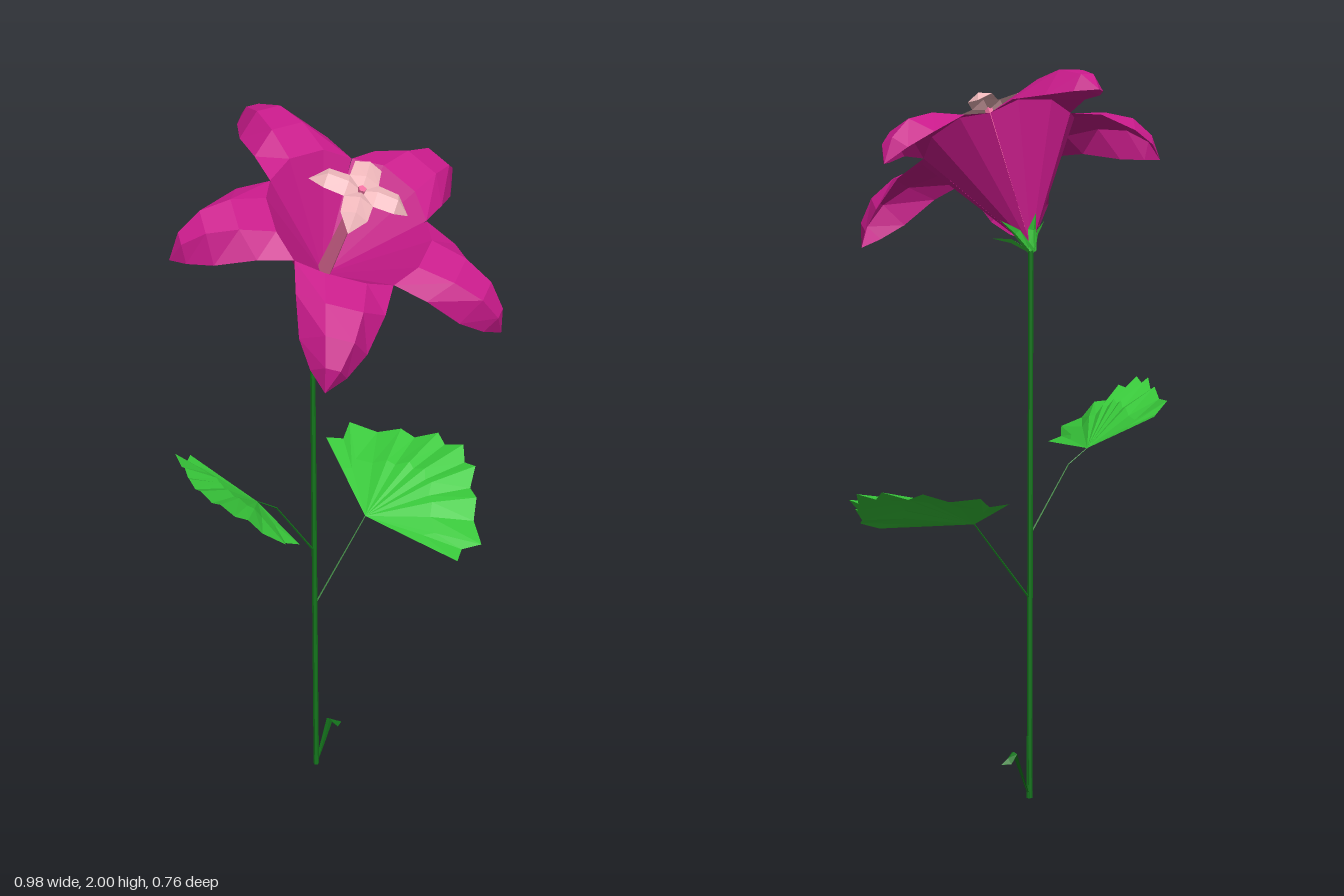
import * as THREE from 'three';

const V = (x, y, z) => new THREE.Vector3(x, y, z);
const material = (color) => new THREE.MeshStandardMaterial({ color, flatShading: true, side: THREE.DoubleSide });
const petalMat = material(0xc81a8a);
const leafMat = material(0x38c83a);
const stemMat = material(0x14741c);
const pinkMat = material(0xf070a0);
const paleMat = material(0xf0b8bc);

// Faceted open surface through rows of equally many points
function surface(name, rows, mat) {
  const p = [];
  const tri = (a, b, c) => {
    if (a.distanceTo(b) > 1e-6 && b.distanceTo(c) > 1e-6 && a.distanceTo(c) > 1e-6) {
      for (const v of [a, b, c]) p.push(v.x, v.y, v.z);
    }
  };
  for (let i = 0; i + 1 < rows.length; i++) {
    for (let j = 0; j + 1 < rows[i].length; j++) {
      tri(rows[i][j], rows[i][j + 1], rows[i + 1][j + 1]);
      tri(rows[i][j], rows[i + 1][j + 1], rows[i + 1][j]);
    }
  }
  const g = new THREE.BufferGeometry();
  g.setAttribute('position', new THREE.Float32BufferAttribute(p, 3));
  g.computeVertexNormals();
  const m = new THREE.Mesh(g, mat);
  m.name = name;
  return m;
}

// Thin tapered rod between two points
function rod(name, a, b, ra, rb, mat, sides = 5) {
  const m = new THREE.Mesh(new THREE.CylinderGeometry(rb, ra, a.distanceTo(b), sides), mat);
  m.position.copy(a).lerp(b, 0.5);
  m.quaternion.setFromUnitVectors(V(0, 1, 0), b.clone().sub(a).normalize());
  m.name = name;
  return m;
}

// Petal sections: ridge [out, up], edge [out, up], half width
const petalSections = [
  [0.21, 0.33, 0.176, 0.31, 0.127],
  [0.307, 0.333, 0.267, 0.297, 0.114],
  [0.39, 0.312, 0.365, 0.252, 0.086],
  [0.447, 0.265, 0.43, 0.225, 0.046],
  [0.473, 0.205, 0.473, 0.205, 0],
];
// Sideways bend of the tips: the two side petals curl forward
const petalBends = [0, -0.04, 0, 0.04, 0];

function petal(index) {
  const bend = petalBends[index];
  const rows = petalSections.map(([cr, ch, er, eh, w], i) => {
    const s = bend * (i / 4) ** 2;
    const back = Math.abs(s) * 0.6;
    return [
      V(s - w, eh, er - back), V(s - w * 0.42, ch, cr - back),
      V(s + w * 0.42, ch, cr - back), V(s + w, eh, er - back),
    ];
  });
  const g = new THREE.Group();
  g.name = 'petal';
  g.add(surface('petalBlade', rows, petalMat));
  // outer funnel wall down to the stem, inner wall down to the throat
  for (const [name, height] of [['funnelWall', 0], ['throatWall', 0.1]]) {
    g.add(surface(name, [rows[0].map(() => V(0, height, 0)), rows[0]], petalMat));
  }
  return g;
}

// Uneven sepal lengths, starting beside the front
const sepalReach = [1, 1, 0.68, 0.6, 0.85];

function sepal(index) {
  const r = sepalReach[index];
  return surface('sepal', [
    [V(-0.012, -0.01, 0.004), V(0, -0.012, 0.008), V(0.012, -0.01, 0.004)],
    [V(-0.013, 0.042, 0.042 * r), V(0, 0.036, 0.05 * r), V(0.013, 0.042, 0.042 * r)],
    [V(0, 0.07, 0.097 * r), V(0, 0.07, 0.097 * r), V(0, 0.07, 0.097 * r)],
  ], leafMat);
}

function stigmaLobe() {
  const row = (w, r, mid, edge) => [V(-w, edge, r), V(0, mid, r), V(w, edge, r)];
  return surface('stigmaLobe', [
    row(0, 0, 0.42, 0.42),
    row(0.038, 0.038, 0.437, 0.421),
    row(0.035, 0.092, 0.436, 0.42),
    row(0, 0.131, 0.397, 0.397),
  ], paleMat);
}

function flower() {
  const g = new THREE.Group();
  g.name = 'flower';
  const ring = (make, count, start) => {
    for (let i = 0; i < count; i++) {
      const part = make(i);
      part.rotation.y = start + (i * 2 * Math.PI) / count;
      g.add(part);
    }
  };
  ring(petal, 5, Math.PI / 5);
  ring(sepal, 5, Math.PI / 5);
  ring(stigmaLobe, 4, Math.PI / 4);
  g.add(rod('pistil', V(0, 0.04, 0), V(0, 0.43, 0), 0.023, 0.011, pinkMat));
  g.position.set(-0.053, 1.533, -0.07);
  g.rotation.x = Math.PI / 6;
  return g;
}

// Half outline of the lobed leaf, from tip to the outer lobe: [along, across]
const leafOutline = [
  [1, 0], [0.91, 0.15], [0.93, 0.28], [0.78, 0.42], [0.74, 0.57],
  [0.6, 0.73], [0.49, 1], [0.36, 0.9], [0.25, 1],
];

function leaf(name, base, along, across) {
  const normal = along.clone().cross(across).normalize();
  if (normal.y < 0) normal.negate();
  const at = (u, v, h) =>
    base.clone().addScaledVector(along, u).addScaledVector(across, v).addScaledVector(normal, h);
  const outline = [
    ...leafOutline.map(([u, v]) => [u, -v]).reverse(),
    ...leafOutline.slice(1),
  ];
  // domed towards the midrib, pleated towards the rim
  const ring = (s, dome, pleat) =>
    outline.map(([u, v], i) => at(u * s, v * s, dome * (1 - v * v) + (i % 2 ? -pleat : pleat)));
  return surface(name, [ring(0, 0, 0), ring(0.6, 0.03, 0.004), ring(1, 0.018, 0.007)], leafMat);
}

export function createModel() {
  const model = new THREE.Group();
  model.name = 'floweringPlant';
  const x = -0.05, z = -0.073;

  // Stem with a thicker foot
  model.add(rod('stem', V(x, 0, z), V(x, 1.54, z), 0.008, 0.007, stemMat, 6));
  model.add(rod('stemFoot', V(x, 0, z), V(x + 0.004, 0.18, z), 0.009, 0.005, stemMat, 5));

  // Leaves on their stalks
  const leftBase = V(0.13, 0.8, z);
  model.add(rod('leftStalk', V(x, 0.57, z), leftBase, 0.003, 0.002, stemMat, 4));
  model.add(leaf('leftLeaf', leftBase, V(0.36, 0.095, 0), V(0.018, -0.079, 0.283)));

  const elbow = V(-0.175, 0.935, -0.075);
  const rightBase = V(-0.235, 0.975, -0.078);
  model.add(rod('rightStalk', V(x, 0.75, z), elbow, 0.003, 0.002, stemMat, 4));
  model.add(rod('rightStalkEnd', elbow, rightBase, 0.002, 0.0015, stemMat, 4));
  model.add(leaf('rightLeaf', rightBase, V(-0.262, 0.15, 0.105), V(0.038, -0.058, 0.2)));

  // Small folded shoot at the foot
  const blade = [
    [x, 0, 0.004, 0], [-0.025, 0.07, 0.009, 0.002], [0, 0.142, 0.013, 0.004],
    [0.02, 0.127, 0.015, 0.014], [0.042, 0.112, 0.002, 0],
  ];
  model.add(surface('shoot', blade.map(([bx, by, w, ridge]) => [
    V(bx, by - ridge, z - w), V(bx + 0.002, by, z), V(bx, by - ridge, z + w),
  ]), stemMat));

  model.add(flower());
  return model;
}
